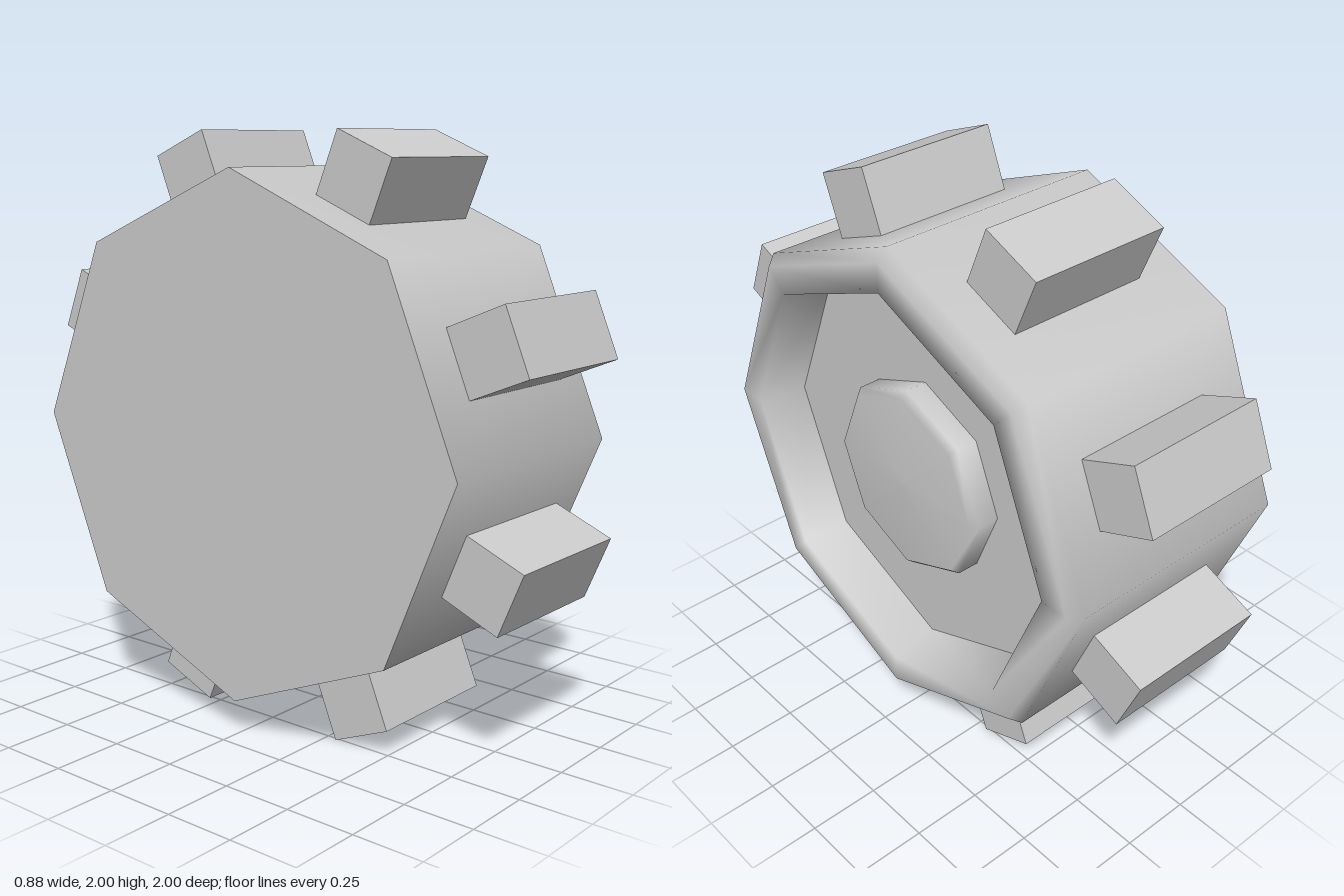
import * as THREE from 'three';

const SIDES = 8;
const material = new THREE.MeshStandardMaterial({ color: 0xcccccc });

// Octagonal surface of revolution; profile points are [radius, axial position]
function turned(name, profile) {
  const points = profile.map(([r, a]) => new THREE.Vector2(r, a));
  const mesh = new THREE.Mesh(new THREE.LatheGeometry(points, SIDES), material);
  mesh.name = name;
  return mesh;
}

export function createModel() {
  const model = new THREE.Group();
  model.name = 'wheel';

  // Wheel body is turned about y, then laid over so its outer face looks along +x
  const body = new THREE.Group();
  body.name = 'wheelBody';
  body.rotation.z = -Math.PI / 2;
  body.position.y = 1;
  body.add(
    // Tread, rounded rim and tapered wall of the recess
    turned('tyre', [[0.883, -0.443], [0.883, 0.4], [0.845, 0.44], [0.74, 0.44], [0.71, 0.267]]),
    turned('backPlate', [[0, -0.443], [0.883, -0.443]]),
    turned('wheelDisc', [[0.71, 0.267], [0, 0.267]]),
    turned('hubCap', [[0.352, 0.267], [0.352, 0.345], [0.33, 0.37], [0, 0.38]])
  );
  model.add(body);

  // One cleat centred on each flat of the tread
  const inner = 0.78, outer = 1.037;
  const cleatGeometry = new THREE.BoxGeometry(0.525, outer - inner, 0.23);
  cleatGeometry.translate(0, (inner + outer) / 2, 0);
  const cleats = new THREE.Group();
  cleats.name = 'cleats';
  cleats.position.y = 1;
  for (let i = 0; i < SIDES; i++) {
    const cleat = new THREE.Mesh(cleatGeometry, material);
    cleat.name = 'cleat';
    cleat.rotation.x = ((i + 0.5) / SIDES) * Math.PI * 2;
    cleats.add(cleat);
  }
  model.add(cleats);

  return model;
}
